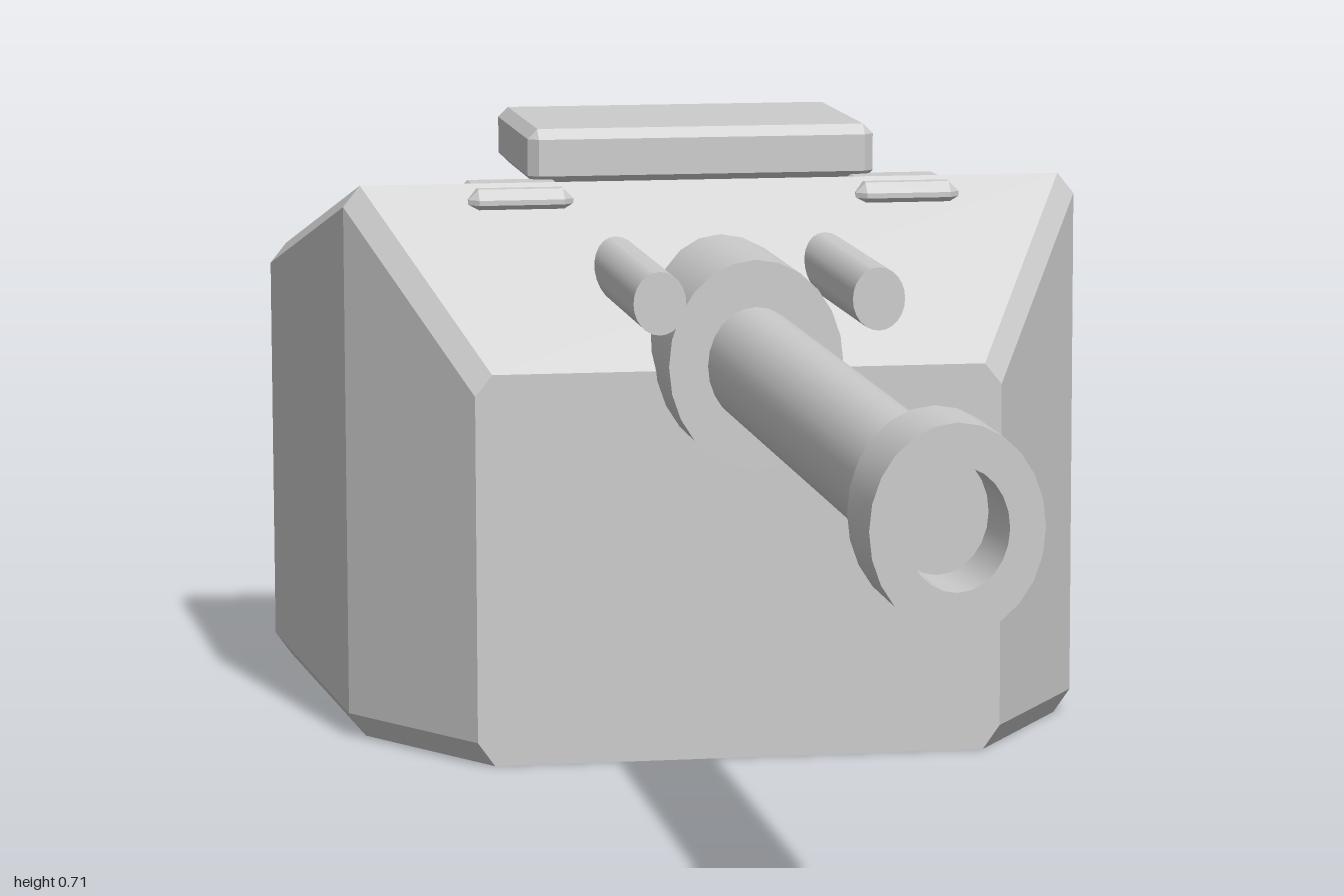
import * as THREE from 'three';
import { toCreasedNormals } from 'three/addons/utils/BufferGeometryUtils.js';
import { ConvexGeometry } from 'three/addons/geometries/ConvexGeometry.js';

const AXIS_Y = 0.48; // height of the gun axis
const STRETCH = 1.2; // round parts are slightly taller than wide

export function createModel() {
  const model = new THREE.Group();
  const grey = new THREE.MeshStandardMaterial({ color: 0xcccccc });
  const add = (name, geometry, x = 0, y = 0, z = 0) => {
    const mesh = new THREE.Mesh(geometry, grey);
    mesh.name = name;
    mesh.position.set(x, y, z);
    model.add(mesh);
  };

  // Box with every edge chamfered
  const bevelBox = (w, h, d, b) => {
    const points = [];
    for (const x of [-w / 2, w / 2]) for (const y of [-h / 2, h / 2]) for (const z of [-d / 2, d / 2]) {
      const [sx, sy, sz] = [Math.sign(x) * b, Math.sign(y) * b, Math.sign(z) * b];
      points.push(
        new THREE.Vector3(x, y - sy, z - sz),
        new THREE.Vector3(x - sx, y, z - sz),
        new THREE.Vector3(x - sx, y - sy, z));
    }
    return new ConvexGeometry(points);
  };

  // Turned part along z from [radius, z] pairs, running back to front
  const turned = (profile) => {
    const g = new THREE.LatheGeometry(profile.map(([r, z]) => new THREE.Vector2(r, z)), 24);
    g.rotateX(Math.PI / 2).scale(1, STRETCH, 1);
    return toCreasedNormals(g, 0.6);
  };

  // Turret shell: hull of three chamfered cross-sections [half width, top, z]
  const hull = [];
  for (const [w, top, z] of [[0.31, 0.46, -0.257], [0.44, 0.66, -0.46], [0.48, 0.53, -1]]) {
    for (const s of [-1, 1]) {
      for (const [x, y] of [[w - 0.02, 0], [w, 0.028], [w, top - 0.025], [w - 0.02, top]]) {
        hull.push(new THREE.Vector3(s * x, y, z));
      }
    }
  }
  add('turretShell', new ConvexGeometry(hull));

  // Raised roof hatch
  add('roofHatch', bevelBox(0.42, 0.068, 0.305, 0.012), 0, 0.681, -0.683);

  // Gun: mantlet collar, barrel and hollow muzzle
  add('mantlet', turned([[0, -0.6], [0.101, -0.6], [0.101, -0.145], [0, -0.145]]), 0, AXIS_Y, 0);
  add('barrel', turned([[0, -0.3], [0.056, -0.3], [0.056, 0.9], [0, 0.9]]), 0, AXIS_Y, 0);
  add('muzzle', turned([
    [0.05, 0.885], [0.086, 0.885], [0.086, 1], [0.051, 1], [0.051, 0.9], [0, 0.9],
  ]), 0, AXIS_Y, 0);

  // Paired side tubes and vision blocks
  for (const [side, s] of [['left', 1], ['right', -1]]) {
    add(`${side}SideTube`, turned([[0, -0.74], [0.03, -0.74], [0.03, -0.055], [0, -0.055]]), s * 0.125, 0.565, 0);
    add(`${side}VisionBlock`, bevelBox(0.125, 0.03, 0.133, 0.012), s * 0.232, 0.64, -0.492);
  }
  return model;
}
